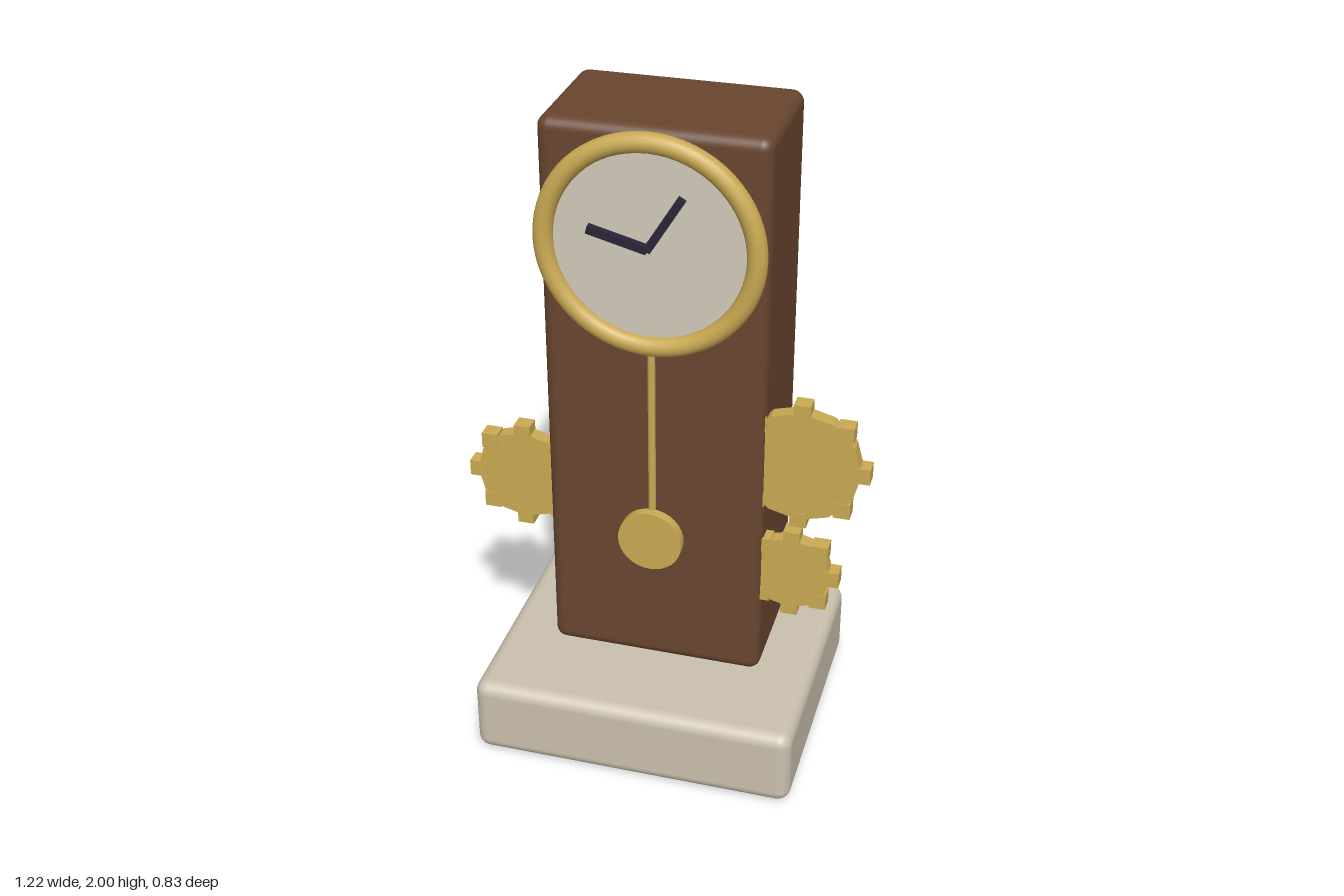
import * as THREE from 'three';
import { RoundedBoxGeometry } from 'three/addons/geometries/RoundedBoxGeometry.js';

const CX = -0.027; // axis of the clock body
const DIAL_Y = 1.67;

export function createModel() {
  const clock = new THREE.Group();
  clock.name = 'gearClock';

  const mat = (color) => new THREE.MeshStandardMaterial({ color });
  const wood = mat(0x68452f);
  const brass = mat(0xc9a953);
  const stone = mat(0xcac0ad);
  const ivory = mat(0xd2cabb);
  const ink = mat(0x2b2438);
  const gearBrass = brass.clone();
  gearBrass.flatShading = true;

  const add = (name, geometry, material, x, y, z, parent = clock) => {
    const mesh = new THREE.Mesh(geometry, material);
    mesh.name = name;
    mesh.position.set(x, y, z);
    parent.add(mesh);
    return mesh;
  };
  // cylinder lying along z
  const disc = (r, depth, sides) => new THREE.CylinderGeometry(r, r, depth, sides).rotateX(Math.PI / 2);

  // Plinth and case
  add('base', new RoundedBoxGeometry(0.995, 0.25, 0.83, 4, 0.04), stone, CX, 0.125, 0);
  add('case', new RoundedBoxGeometry(0.66, 1.75, 0.415, 4, 0.035), wood, CX, 1.125, -0.083);

  // Dial and rim
  add('dial', disc(0.3, 0.04, 48), ivory, CX, DIAL_Y, 0.137);
  add('dialRim', new THREE.TorusGeometry(0.304, 0.029, 16, 64), brass, CX, DIAL_Y, 0.157);

  // Hands, each pivoting at the dial centre
  const hand = (name, length, angle, z) => {
    const geometry = new THREE.BoxGeometry(0.024, length, 0.02).translate(0, length / 2, 0);
    add(name, geometry, ink, CX, DIAL_Y, z).rotation.z = angle;
  };
  hand('minuteHand', 0.188, -0.55, 0.176);
  hand('hourHand', 0.176, 1.32, 0.174);

  // Pendulum
  add('pendulumRod', new THREE.CylinderGeometry(0.0115, 0.0115, 0.6, 12), brass, CX, 1.055, 0.141);
  add('pendulumBob', disc(0.098, 0.031, 32), brass, CX, 0.713, 0.16);

  // Gears emerging from the sides: twelve-sided hub with eight upright cube teeth
  const gear = (name, r, x, y) => {
    const group = new THREE.Group();
    group.name = name;
    group.position.set(x, y, 0.081);
    add('gearDisc', disc(r, 0.046, 12), gearBrass, 0, 0, 0, group);
    const tooth = new THREE.BoxGeometry(0.05, 0.05, 0.05);
    for (let i = 0; i < 8; i++) {
      const a = (i * Math.PI) / 4;
      add('gearTooth', tooth, gearBrass, r * Math.cos(a), r * Math.sin(a), 0, group);
    }
    clock.add(group);
  };
  gear('upperLeftGear', 0.18, 0.405, 1.004);
  gear('lowerLeftGear', 0.122, 0.388, 0.628);
  gear('rightGear', 0.147, -0.442, 0.834);

  return clock;
}
